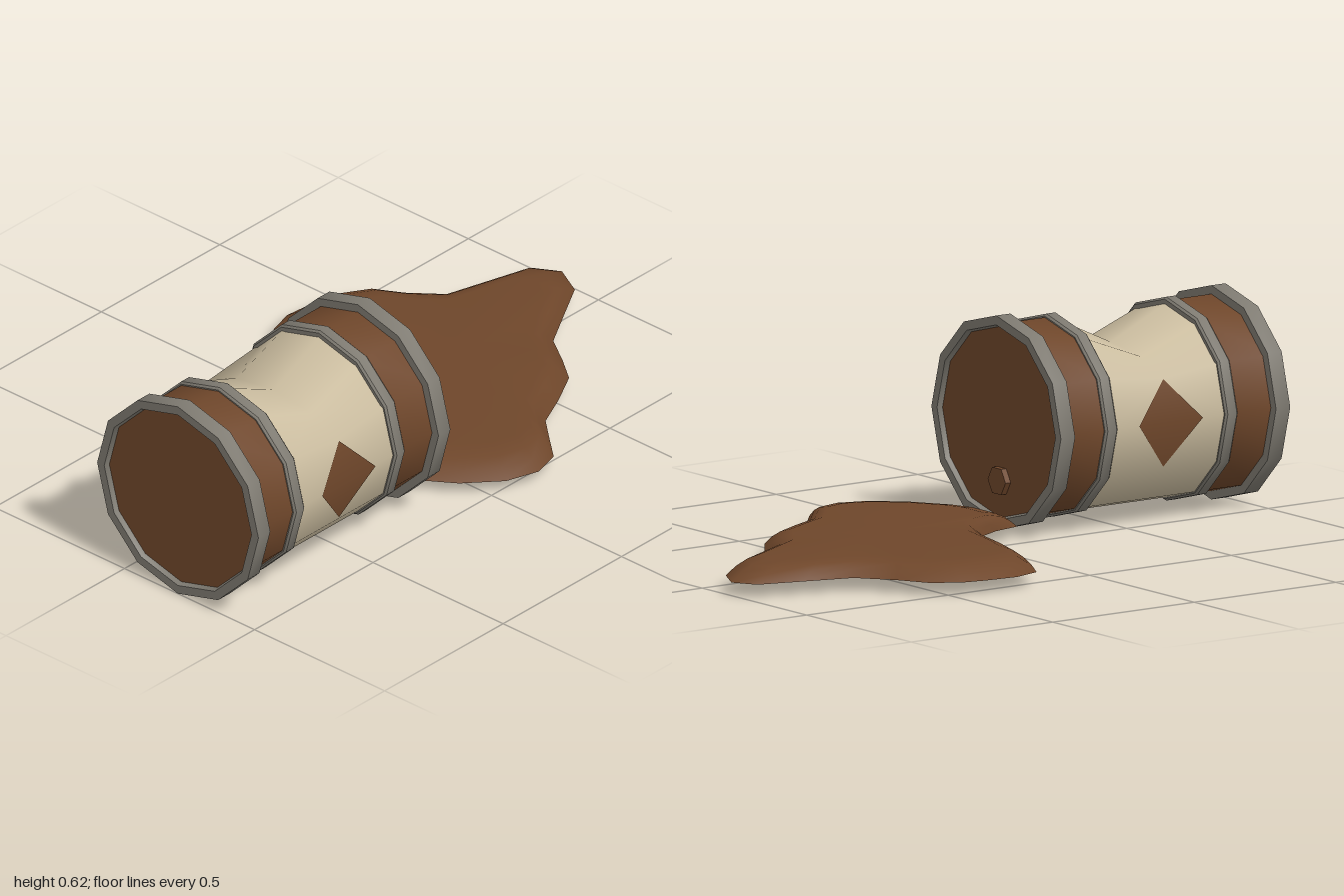
import * as THREE from 'three';
import { toCreasedNormals } from 'three/addons/utils/BufferGeometryUtils.js';

const SIDES = 12;
const BODY_R = 0.285;

// Puddle rim, as x, z pairs
const RIM = [
  -0.17, 0.10, -0.15, 0.05, -0.06, 0.03, 0.02, -0.01, 0.08, -0.14, 0.12, -0.31, 0.16, -0.44, 0.21, -0.53,
  0.295, -0.555, 0.40, -0.545, 0.47, -0.53, 0.55, -0.48, 0.60, -0.39, 0.68, -0.29, 0.82, -0.25, 0.96, -0.21,
  1.0, -0.14, 0.95, -0.045, 0.82, 0.03, 0.70, 0.10, 0.64, 0.19, 0.58, 0.27, 0.47, 0.33, 0.36, 0.38,
  0.29, 0.46, 0.23, 0.53, 0.14, 0.553, 0.04, 0.52, -0.06, 0.43, -0.14, 0.31, -0.17, 0.23,
];

// Hoop sections as radius and offset along the axis, towards the barrel's end
const END_HOOP = [[0.274, -0.025], [0.31, -0.025], [0.31, 0.025], [0.283, 0.025], [0.277, 0.01], [0.274, -0.025]];
const INNER_HOOP = [[0.27, -0.022], [0.289, -0.022], [0.295, -0.016], [0.295, 0.016], [0.289, 0.022], [0.27, 0.022], [0.27, -0.022]];

function meshGeometry(positions, index) {
  const g = new THREE.BufferGeometry();
  g.setAttribute('position', new THREE.Float32BufferAttribute(positions, 3));
  g.setIndex(index);
  g.computeVertexNormals();
  return g;
}

// Ring around the x axis, side +1 or -1 giving the end it faces
function hoopGeometry(profile, side) {
  const g = new THREE.LatheGeometry(profile.map(([r, y]) => new THREE.Vector2(r, y)), SIDES);
  return toCreasedNormals(g.rotateZ(-side * Math.PI / 2), 0.6);
}

function drumGeometry(radius, length, sides) {
  const g = new THREE.CylinderGeometry(radius, radius, length, sides).rotateZ(-Math.PI / 2);
  return toCreasedNormals(g, 0.6);
}

// Pale middle of the barrel, its top pushed in halfway along, shaded as a plain drum
function middleGeometry() {
  const positions = [], normals = [], index = [];
  const dentedTop = [0.187, 0.167, 0.12];
  [-0.21, 0, 0.21].forEach((x, ring) => {
    for (let i = 0; i < SIDES; i++) {
      const a = (i / SIDES) * Math.PI * 2;
      const fromTop = Math.min(i, SIDES - i);
      const dented = ring === 1 && fromTop < dentedTop.length;
      positions.push(x, dented ? dentedTop[fromTop] : Math.cos(a) * BODY_R, Math.sin(a) * BODY_R);
      normals.push(0, Math.cos(a), Math.sin(a));
    }
  });
  for (let r = 0; r < 2; r++) {
    for (let i = 0; i < SIDES; i++) {
      const j = (i + 1) % SIDES;
      const a = r * SIDES + i, b = r * SIDES + j, c = a + SIDES, d = b + SIDES;
      // diagonals mirror about the dent
      if ((r === 0) === (i < 6)) index.push(a, b, c, b, d, c);
      else index.push(a, d, c, a, b, d);
    }
  }
  const g = meshGeometry(positions, index);
  g.setAttribute('normal', new THREE.Float32BufferAttribute(normals, 3));
  return g;
}

// Diamond folded over the widest edge of the barrel
function diamondGeometry(side) {
  const out = 0.004;
  const zEdge = side * (BODY_R + out), zTip = side * (BODY_R * Math.cos(Math.PI / 6) + out);
  const positions = [-0.112, 0, zEdge, 0.112, 0, zEdge, 0, 0.118, zTip, 0, -0.135, zTip];
  return meshGeometry(positions, side > 0 ? [0, 1, 2, 0, 3, 1] : [0, 2, 1, 0, 1, 3]);
}

// Low hollow mound with a sloping rim
function puddleGeometry() {
  const cx = 0.35, cz = 0, n = RIM.length / 2;
  const rings = [[1, 0.04], [0.94, 0.062], [0.87, 0.078], [0.77, 0.088]];
  const positions = [], index = [];
  for (const [s, y] of rings) {
    for (let i = 0; i < n; i++) {
      positions.push(cx + (RIM[2 * i] - cx) * s, y, cz + (RIM[2 * i + 1] - cz) * s);
    }
  }
  const top = n * rings.length;
  positions.push(cx, 0.09, cz);
  for (let i = 0; i < n; i++) {
    const j = (i + 1) % n;
    for (let r = 0; r < rings.length - 1; r++) {
      const a = r * n + i, b = r * n + j;
      index.push(a, a + n, b, b, a + n, b + n);
    }
    index.push(top, top - n + j, top - n + i);
  }
  return meshGeometry(positions, index);
}

export function createModel() {
  // Double-sided because the puddle is an open shell
  const brown = new THREE.MeshStandardMaterial({ name: 'brown', color: 0x6e462a, side: THREE.DoubleSide });
  const cream = new THREE.MeshStandardMaterial({ name: 'cream', color: 0xc9bb9e });
  const grey = new THREE.MeshStandardMaterial({ name: 'grey', color: 0x7d7970 });

  const model = new THREE.Group();
  const add = (parent, name, geometry, material, x = 0, y = 0, z = 0) => {
    const mesh = new THREE.Mesh(geometry, material);
    mesh.name = name;
    mesh.position.set(x, y, z);
    parent.add(mesh);
  };

  // Barrel lying along x
  const barrel = new THREE.Group();
  barrel.name = 'barrel';
  barrel.position.set(-0.595, 0.312, 0.205);
  model.add(barrel);
  add(barrel, 'barrelMiddle', middleGeometry(), cream);
  for (const s of [-1, 1]) {
    const end = s > 0 ? 'left' : 'right';
    add(barrel, end + 'Drum', drumGeometry(BODY_R, 0.18, SIDES), brown, s * 0.3);
    add(barrel, end + 'EndHoop', hoopGeometry(END_HOOP, s), grey, s * 0.38);
    add(barrel, end + 'InnerHoop', hoopGeometry(INNER_HOOP, s), grey, s * 0.212);
    add(barrel, s > 0 ? 'frontDiamond' : 'backDiamond', diamondGeometry(s), brown);
  }

  // Plug on the end above the spill
  add(barrel, 'plug', drumGeometry(0.043, 0.03, 6), brown, 0.393, -0.168, -0.006);

  // Spilled puddle
  add(model, 'puddle', puddleGeometry(), brown);

  return model;
}
